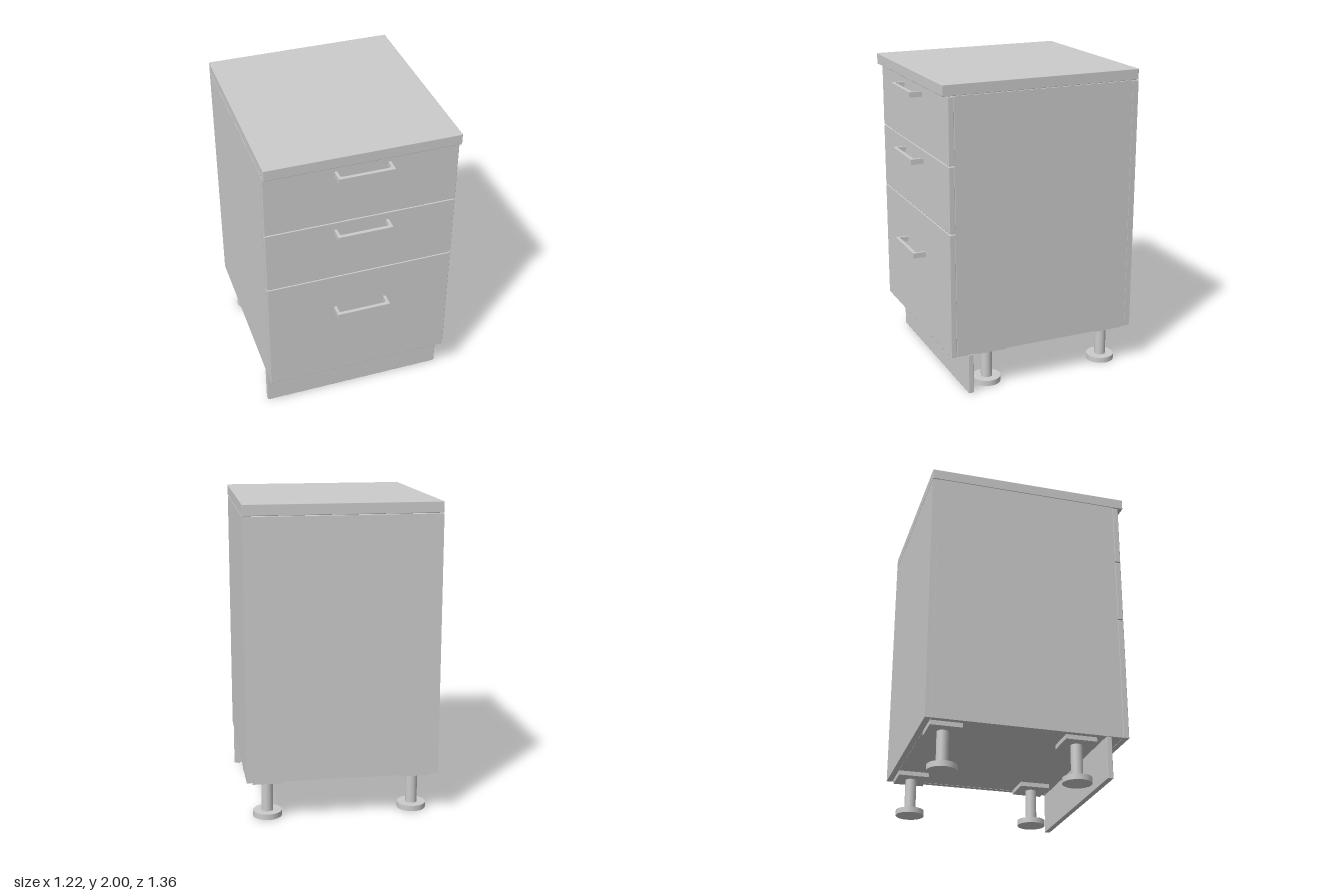
import * as THREE from 'three';
import { RoundedBoxGeometry } from 'three/addons/geometries/RoundedBoxGeometry.js';

const material = new THREE.MeshStandardMaterial({ color: 0xcccccc });

export function createModel() {
  const model = new THREE.Group();
  model.name = 'drawerCabinet';

  const add = (name, geometry, parent = model) => {
    const mesh = new THREE.Mesh(geometry, material);
    mesh.name = name;
    parent.add(mesh);
    return mesh;
  };

  // Board given by its extents on each axis, with an optional eased edge
  const board = (name, [x0, x1], [y0, y1], [z0, z1], edge = 0, parent = model) => {
    const size = [x1 - x0, y1 - y0, z1 - z0];
    const geometry = edge ? new RoundedBoxGeometry(...size, 1, edge) : new THREE.BoxGeometry(...size);
    const mesh = add(name, geometry, parent);
    mesh.position.set((x0 + x1) / 2, (y0 + y1) / 2, (z0 + z1) / 2);
    return mesh;
  };

  const W = 0.61, T = 0.036, base = 0.272, top = 1.928;

  // Carcass
  board('worktop', [-W, W], [1.93, 2], [-0.68, 0.63], 0.004);
  board('rightSide', [-W, -W + T], [base, top], [-0.64, 0.556]);
  board('leftSide', [W - T, W], [base, top], [-0.64, 0.556]);
  board('bottomPanel', [-W + T, W - T], [base + 0.002, base + T], [-0.64, 0.556]);
  board('topPanel', [-W + T, W - T], [top - T, top], [-0.64, 0.556]);
  board('backPanel', [-W, W], [base, top - 0.002], [-0.68, -0.642]);
  board('plinth', [-W, W], [0.004, 0.27], [0.445, 0.48], 0.003);

  // Flat U-shaped pull, drawn in plan with chamfered inner corners
  const plan = new THREE.Shape([
    [-0.175, 0], [-0.175, 0.085], [0.175, 0.085], [0.175, 0], [0.158, 0],
    [0.158, 0.052], [0.148, 0.062], [-0.148, 0.062], [-0.158, 0.052], [-0.158, 0],
  ].map(([x, z]) => new THREE.Vector2(x, z)));
  const handleHeight = 0.034;
  const handleGeometry = new THREE.ExtrudeGeometry(plan, { depth: handleHeight, bevelEnabled: false });
  handleGeometry.rotateX(Math.PI / 2).translate(0, handleHeight / 2, 0);

  // Drawers: front bottom, front top, handle height
  [[1.511, 1.926, 1.864], [1.086, 1.505, 1.438], [0.272, 1.08, 0.816]].forEach(([y0, y1, yHandle], i) => {
    const drawer = new THREE.Group();
    drawer.name = `drawer${i + 1}`;
    model.add(drawer);
    board('drawerFront', [-W, W], [y0, y1], [0.558, 0.595], 0.003, drawer);
    add('handle', handleGeometry, drawer).position.set(0, yHandle, 0.594);
  });

  // Adjustable legs: square mounting plate, column and round foot
  const footGeometry = new THREE.CylinderGeometry(0.092, 0.092, 0.036, 32);
  const columnGeometry = new THREE.CylinderGeometry(0.037, 0.037, 0.22, 24);
  for (const x of [-0.47, 0.47]) {
    for (const z of [-0.54, 0.3]) {
      const leg = new THREE.Group();
      leg.name = 'leg';
      leg.position.set(x, 0, z);
      model.add(leg);
      board('mountingPlate', [-0.1, 0.1], [0.245, base + 0.004], [-0.1, 0.1], 0, leg);
      add('column', columnGeometry, leg).position.y = 0.14;
      add('foot', footGeometry, leg).position.y = 0.018;
    }
  }
  return model;
}
